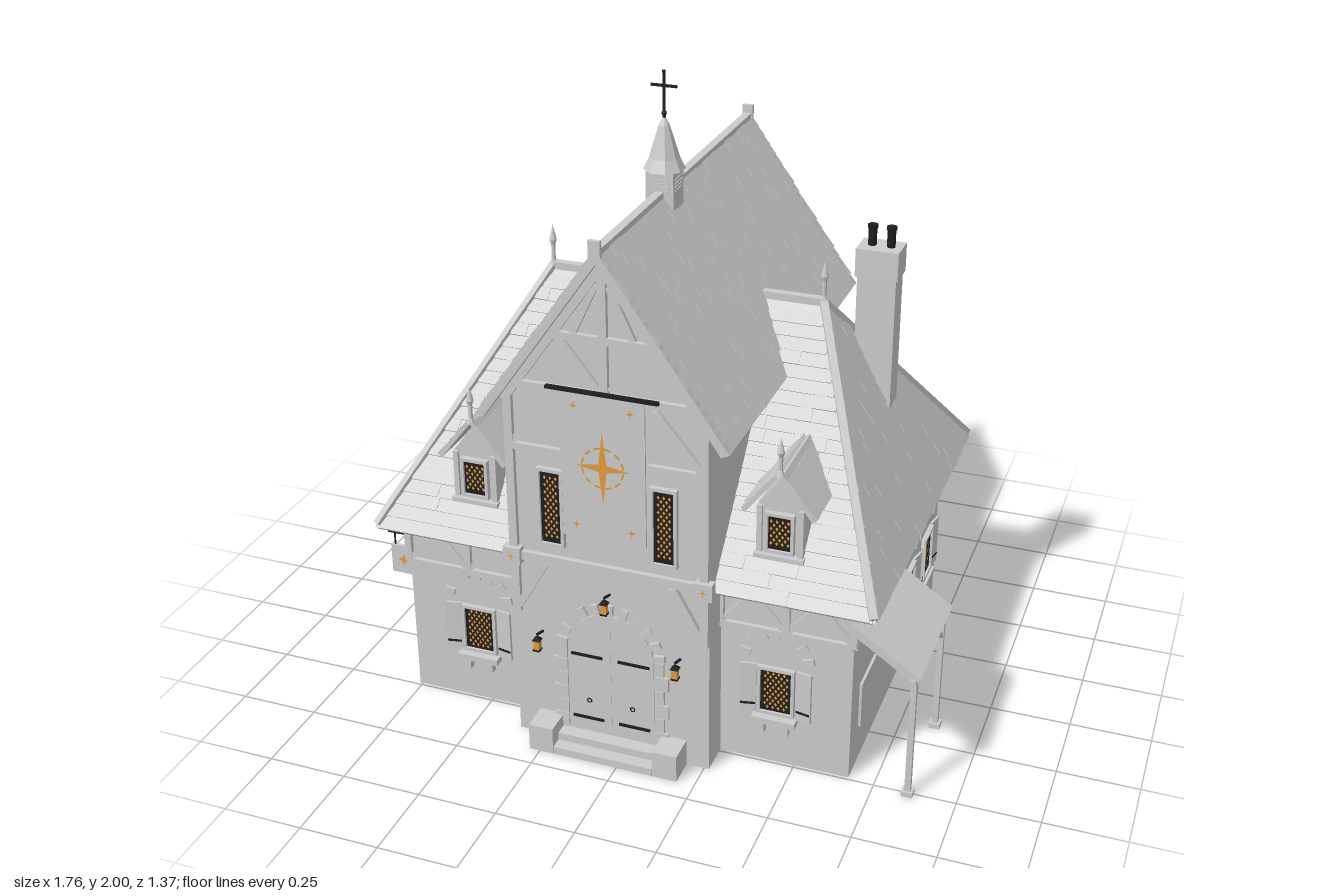
import * as THREE from 'three';
import { mergeGeometries } from 'three/addons/utils/BufferGeometryUtils.js';

const grey = new THREE.MeshStandardMaterial({ color: 0xcccccc });
grey.name = 'paleGrey';
const iron = new THREE.MeshStandardMaterial({ color: 0x1e1e1e });
iron.name = 'darkIron';
const amber = new THREE.MeshStandardMaterial({ color: 0xe39a38 });
amber.name = 'amber';

const V = (x, y, z) => new THREE.Vector3(x, y, z);
let seed = 7;
const rand = () => (seed = (seed * 16807) % 2147483647) / 2147483647;

function add(g, name, geo, mat = grey, x = 0, y = 0, z = 0) {
  const m = new THREE.Mesh(geo, mat);
  m.name = name;
  m.position.set(x, y, z);
  g.add(m);
  return m;
}
const box = (g, name, w, h, d, x, y, z, mat = grey) => add(g, name, new THREE.BoxGeometry(w, h, d), mat, x, y, z);
// Square beam between two points of the parent's space
function beam(g, name, a, b, t = 0.022, mat = grey) {
  const m = box(g, name, t, t, a.distanceTo(b), 0, 0, 0, mat);
  m.position.copy(a).lerp(b, 0.5);
  m.quaternion.setFromRotationMatrix(new THREE.Matrix4().lookAt(b, a, V(0, 1, 0)));
}
function group(parent, name, x = 0, y = 0, z = 0, ry = 0) {
  const g = new THREE.Group();
  g.name = name;
  g.position.set(x, y, z);
  g.rotation.y = ry;
  parent.add(g);
  return g;
}
const poly = pts => new THREE.Shape(pts.map(p => new THREE.Vector2(p[0], p[1])));
const extrude = (shape, depth) => new THREE.ExtrudeGeometry(shape, { depth, bevelEnabled: false, curveSegments: 10 });
const flat = geo => { const f = geo.toNonIndexed(); f.computeVertexNormals(); return f; };

// Sloping slab from corners (first two along the eave), covered with courses of shingles
function roofPlane(g, name, pts, row = 0.042, width = 0.07) {
  const n = pts[1].clone().sub(pts[0]).cross(pts[2].clone().sub(pts[0])).normalize();
  if (n.y < 0) {
    pts = [pts[1], pts[0], ...pts.slice(2).reverse()];
    n.negate();
  }
  const u = pts[1].clone().sub(pts[0]).normalize(), v = n.clone().cross(u);
  const p2 = pts.map(p => { const d = p.clone().sub(pts[0]); return [d.dot(u), d.dot(v)]; });
  const rg = group(g, name);
  rg.quaternion.setFromRotationMatrix(new THREE.Matrix4().makeBasis(u, v, n));
  rg.position.copy(pts[0]);
  add(rg, 'roofDeck', extrude(poly(p2), 0.012));
  const top = Math.max(...p2.map(p => p[1])), tiles = [];
  for (let y = row * 0.55; y < top - row * 0.3; y += row) {
    const xs = [];
    p2.forEach((a, i) => {
      const b = p2[(i + 1) % p2.length];
      if ((a[1] - y) * (b[1] - y) < 0) xs.push(a[0] + (b[0] - a[0]) * (y - a[1]) / (b[1] - a[1]));
    });
    const end = Math.max(...xs);
    for (let x = Math.min(...xs); x < end - 0.004;) {
      const w = Math.min(width * (0.6 + rand() * 0.8), end - x);
      const t = new THREE.BoxGeometry(w, row * 1.08, 0.005);
      t.rotateX(-0.08);
      t.translate(x + w / 2, y, 0.0125 + (rand() < 0.25 ? 0.0025 : 0));
      tiles.push(t);
      x += w;
    }
  }
  add(rg, 'shingles', mergeGeometries(tiles));
}

// Leaded window facing +z
function casement(g, w, h, x, y, z) {
  const c = group(g, 'casement', x, y, z);
  box(c, 'glass', w, h, 0.034, 0, 0, -0.013, amber);
  const s = poly([[-w / 2, -h / 2], [w / 2, -h / 2], [w / 2, h / 2], [-w / 2, h / 2]]);
  const px = 0.017, py = 0.012, rows = Math.floor((h / 2 - 0.012) / py), cols = Math.floor((w / 2 - 0.007) / px * 2);
  for (let j = -rows; j <= rows; j++) for (let i = -cols; i <= cols; i++) {
    if ((i + j) % 2) continue;
    const X = i * px / 2, Y = j * py;
    s.holes.push(new THREE.Path([[0, 0.0068], [0.0046, 0], [0, -0.0068], [-0.0046, 0]].map(q => new THREE.Vector2(X + q[0], Y + q[1]))));
  }
  add(c, 'leadLattice', new THREE.ShapeGeometry(s), iron, 0, 0, 0.006);
  for (const k of [-1, 1]) {
    box(c, 'frameSide', 0.01, h + 0.02, 0.02, k * (w / 2 + 0.005), 0, 0.004);
    box(c, 'frameRail', w, 0.01, 0.02, 0, k * (h / 2 + 0.005), 0.004);
  }
}

// Ring of arch stones
function archStones(g, r, n, x, y) {
  for (let i = 0; i < n; i++) {
    const a = Math.PI * (i + 0.5) / n;
    box(g, 'archStone', 0.035, 0.022, 0.012, x + r * Math.cos(a), y + r * Math.sin(a), 0.003).rotation.z = a;
  }
}

function shutteredWindow(g, x, y, z, ry, { sill = false, arch = true } = {}) {
  const w = group(g, 'shutteredWindow', x, y, z, ry);
  casement(w, 0.095, 0.145, 0, 0, 0.002);
  if (arch) archStones(w, 0.1, 7, 0, 0.1);
  for (const k of [-1, 1]) {
    const s = group(w, 'shutter', k * 0.062, 0, 0.006, -k * 0.2);
    box(s, 'shutterBoard', 0.05, 0.17, 0.008, k * 0.025, 0, 0);
    box(s, 'shutterStrap', 0.045, 0.007, 0.01, k * 0.025, -0.055, 0.001, iron);
    if (sill) box(w, 'sillBracket', 0.014, 0.04, 0.025, k * 0.037, -0.125, 0.012);
  }
  box(w, 'sill', 0.135, 0.02, sill ? 0.05 : 0.025, 0, -0.095, 0.012);
}

// Timber band below the eaves, running along local x
function timberBand(g, x, z, ry, w, bays) {
  const b = group(g, 'timberBand', x, 0, z, ry);
  for (const y of [0.465, 0.585]) box(b, 'rail', w, 0.022, 0.024, 0, y, 0);
  for (let i = 0; i <= bays; i++) {
    const px = -w / 2 + w * i / bays;
    box(b, 'stud', 0.022, 0.12, 0.024, px, 0.525, 0);
    for (const k of [-1, 1]) {
      if (Math.abs(px + k * 0.1) < w / 2) beam(b, 'brace', V(px, 0.47, 0), V(px + k * 0.1, 0.58, 0), 0.018);
    }
  }
}

function lantern(g, x, y, z, ry = 0) {
  const l = group(g, 'lantern', x, y, z, ry);
  box(l, 'lampGlass', 0.018, 0.032, 0.018, 0, 0, 0.045, amber);
  add(l, 'lampCap', new THREE.ConeGeometry(0.018, 0.016, 4, 1, false, Math.PI / 4), iron, 0, 0.024, 0.045);
  box(l, 'lampBase', 0.022, 0.005, 0.022, 0, -0.018, 0.045, iron);
  beam(l, 'lampArm', V(0, 0.02, 0), V(0, 0.035, 0.045), 0.006, iron);
}

const star = (rx, ry, c) => new THREE.ShapeGeometry(poly([[0, ry], [-c, c], [-rx, 0], [-c, -c], [0, -ry], [c, -c], [rx, 0], [c, c]]));

function finial(g, x, y, z, h) {
  const p = [[0.014, 0], [0.007, 0.15], [0.007, 0.5], [0.012, 0.62], [0, 1]].map(q => new THREE.Vector2(q[0], q[1] * h));
  add(g, 'finial', flat(new THREE.LatheGeometry(p, 8)), grey, x, y, z);
}

// Timber frame of a gable end
function gableFrame(g, z, ry) {
  const f = group(g, 'gableFrame', 0, 0, z, ry);
  box(f, 'lowerBeam', 0.64, 0.028, 0.026, 0, 0.637, 0);
  box(f, 'tieBeam', 0.6, 0.024, 0.024, 0, 1.2, 0);
  box(f, 'collar', 0.34, 0.022, 0.024, 0, 1.37, 0);
  box(f, 'kingPost', 0.026, 0.4, 0.024, 0, 1.4, 0);
  for (const k of [-1, 1]) {
    beam(f, 'bargeBoard', V(0, 1.632, 0.034), V(k * 0.37, 1.1, 0.034), 0.026);
    beam(f, 'rafter', V(0, 1.59, 0), V(k * 0.31, 1.145, 0), 0.026);
    box(f, 'cornerPost', 0.026, 0.56, 0.026, k * 0.298, 0.88, 0);
    box(f, 'midRail', 0.17, 0.022, 0.024, k * 0.215, 1.0, 0);
    beam(f, 'upperBrace', V(k * 0.02, 1.22, 0), V(k * 0.14, 1.37, 0));
    beam(f, 'archBrace', V(k * 0.02, 1.53, 0), V(k * 0.09, 1.38, 0), 0.018);
    beam(f, 'lowerBrace', V(k * 0.29, 1.01, 0), V(k * 0.15, 1.18, 0));
  }
}

export function createModel() {
  const root = new THREE.Group();
  root.name = 'timberedHouse';
  const g = group(root, 'house', -0.045);

  // Ground-floor walls, open underneath
  const outline = t => [[-0.715 + t, 0.6 - t], [-0.715 + t, -0.49 + t], [-0.31 + t, -0.49 + t], [-0.31 + t, -0.595 + t],
    [0.31 - t, -0.595 + t], [0.31 - t, -0.49 + t], [0.715 - t, -0.49 + t], [0.715 - t, 0.6 - t]];
  const plan = poly(outline(0));
  plan.holes.push(new THREE.Path(outline(0.02).map(p => new THREE.Vector2(...p))));
  add(g, 'groundWalls', extrude(plan, 0.61).rotateX(-Math.PI / 2));

  // Tall central block
  const gable = poly([[-0.31, 0.6], [0.31, 0.6], [0.31, 1.19], [0, 1.625], [-0.31, 1.19]]);
  add(g, 'frontGable', extrude(gable, 0.02), grey, 0, 0, 0.575);
  add(g, 'backGable', extrude(gable, 0.02), grey, 0, 0, -0.6);
  gableFrame(g, 0.598, 0);
  gableFrame(g, -0.603, Math.PI);
  for (const k of [-1, 1]) {
    box(g, 'blockSideWall', 0.02, 0.6, 1.17, k * 0.3, 0.89, 0);
    roofPlane(g, 'mainRoof', [V(k * 0.37, 1.095, -0.655), V(k * 0.37, 1.095, 0.64), V(0, 1.63, 0.64), V(0, 1.63, -0.655)], 0.036, 0.055);
    box(g, 'ridgeEnd', 0.035, 0.05, 0.012, 0, 1.655, k * 0.645);
  }
  box(g, 'mainRidge', 0.026, 0.022, 1.29, 0, 1.642, -0.005);

  // Wings: hipped roofs, dormers, windows and timber bands
  for (const k of [-1, 1]) {
    const front = V(k * 0.782, 0.597, 0.557), back = V(k * 0.782, 0.597, -0.667), apex = V(k * 0.435, 1.272, -0.055);
    const inner = V(k * 0.25, 1.272, -0.055);
    roofPlane(g, 'wingRoofFront', [V(k * 0.312, 0.597, 0.557), front, apex, inner]);
    roofPlane(g, 'wingRoofBack', [V(k * 0.312, 0.597, -0.667), back, apex, inner]);
    roofPlane(g, 'wingRoofSide', [front, back, apex]);
    const peak = V(k * 0.438, 1.286, -0.055);
    beam(g, 'hipCap', V(k * 0.782, 0.612, 0.557), peak, 0.024);
    beam(g, 'hipCap', V(k * 0.782, 0.612, -0.667), peak, 0.024);
    beam(g, 'wingRidge', peak, V(k * 0.25, 1.286, -0.055), 0.026);
    finial(g, k * 0.44, 1.285, -0.055, 0.135);

    const d = group(g, 'dormer', k * 0.48);
    add(d, 'dormerBody', extrude(poly([[-0.07, 0.7], [0.07, 0.7], [0.07, 0.87], [0, 0.965], [-0.07, 0.87]]), 0.25), grey, 0, 0, 0.22);
    for (const s of [-1, 1]) {
      roofPlane(d, 'dormerRoof', [V(s * 0.1, 0.85, 0.3), V(s * 0.1, 0.85, 0.495), V(0, 0.98, 0.495), V(0, 0.98, 0.2)], 0.035, 0.05);
      box(d, 'dormerPost', 0.016, 0.17, 0.016, s * 0.062, 0.785, 0.472);
    }
    casement(d, 0.068, 0.11, 0, 0.79, 0.474);
    box(d, 'dormerSill', 0.15, 0.014, 0.03, 0, 0.712, 0.478);
    finial(d, 0, 0.98, 0.485, 0.12);

    shutteredWindow(g, k * 0.485, 0.26, 0.49, 0, { sill: true });
    for (const x of [0.17, 0.495]) shutteredWindow(g, k * x, 0.26, -0.6, Math.PI);
    (k > 0 ? [-0.18, -0.425] : [-0.19, 0.18]).forEach(z => shutteredWindow(g, k * 0.715, 0.26, z, k * Math.PI / 2));
    timberBand(g, k * 0.512, 0.492, 0, 0.405, 2);
    timberBand(g, k * 0.715, -0.055, k * Math.PI / 2, 1.09, 4);

    // Central bay windows, jetty posts, braces and plaques
    casement(g, 0.062, 0.235, k * 0.175, 0.815, 0.598);
    box(g, 'bayPost', 0.026, 0.19, 0.03, k * 0.297, 0.535, 0.595);
    beam(g, 'bayBrace', V(k * 0.29, 0.46, 0.6), V(k * 0.2, 0.62, 0.6));
    box(g, 'plaque', 0.055, 0.055, 0.03, k * 0.3, 0.637, 0.61);
    add(g, 'plaqueStar', star(0.018, 0.018, 0.0018), amber, k * 0.3, 0.637, 0.627);
    box(g, 'stepPedestal', 0.078, 0.088, 0.09, k * 0.2, 0.044, 0.64);
    lantern(g, k * 0.22, 0.355, 0.595);
    for (let i = 0; i < 6; i++) box(g, 'jambStone', i % 2 ? 0.03 : 0.045, 0.048, 0.012, k * (i % 2 ? 0.155 : 0.162), 0.075 + i * 0.05, 0.598);
  }
  box(g, 'backRail', 1.43, 0.022, 0.024, 0, 0.465, -0.6);
  shutteredWindow(g, 0, 0.86, -0.602, Math.PI, { arch: false });

  // Door and steps
  const door = new THREE.Shape();
  door.moveTo(-0.138, 0.04);
  door.lineTo(0.138, 0.04);
  door.lineTo(0.138, 0.34);
  door.absarc(0, 0.34, 0.138, 0, Math.PI);
  add(g, 'door', extrude(door, 0.04), grey, 0, 0, 0.562);
  archStones(group(g, 'doorArch', 0, 0, 0.597), 0.158, 11, 0, 0.34);
  box(g, 'doorSeam', 0.003, 0.42, 0.003, 0, 0.26, 0.602);
  for (const k of [-1, 1]) {
    for (const y of [0.1, 0.325]) box(g, 'doorStrap', 0.1, 0.008, 0.006, k * 0.075, y, 0.604, iron);
    add(g, 'doorHandle', new THREE.TorusGeometry(0.007, 0.002, 6, 10), iron, k * 0.07, 0.165, 0.605);
  }
  box(g, 'lowerStep', 0.32, 0.025, 0.09, 0, 0.0125, 0.64);
  box(g, 'upperStep', 0.32, 0.025, 0.05, 0, 0.0375, 0.62);
  lantern(g, 0, 0.53, 0.595);

  // Hanging banner with painted star
  add(g, 'banner', extrude(poly([[-0.128, 0.75], [0, 0.69], [0.128, 0.75], [0.128, 1.21], [-0.128, 1.21]]), 0.006), grey, 0, 0, 0.618);
  box(g, 'bannerRod', 0.34, 0.01, 0.012, 0, 1.215, 0.622, iron);
  add(g, 'bannerStar', star(0.082, 0.115, 0.012), amber, 0, 0.985, 0.627);
  for (let i = 0; i < 12; i++) {
    add(g, 'starRing', new THREE.RingGeometry(0.06, 0.066, 4, 1, i * Math.PI / 6 + 0.1, 0.33), amber, 0, 0.985, 0.626);
  }
  for (const x of [-0.085, 0.085]) for (const y of [0.79, 1.17]) add(g, 'smallStar', star(0.014, 0.014, 0.003), amber, x, y, 0.626);

  // Chimney
  box(g, 'chimneyStack', 0.12, 0.68, 0.085, 0.575, 1.02, -0.187);
  box(g, 'chimneyCap', 0.132, 0.09, 0.1, 0.575, 1.39, -0.187);
  for (const x of [0.547, 0.605]) {
    add(g, 'chimneyPot', new THREE.CylinderGeometry(0.013, 0.013, 0.07, 10), iron, x, 1.465, -0.187);
    add(g, 'potRim', new THREE.CylinderGeometry(0.016, 0.016, 0.01, 10), iron, x, 1.495, -0.187);
  }

  // Ridge turret with cross
  const t = group(g, 'turret', 0, 0, 0.12);
  box(t, 'turretBase', 0.085, 0.13, 0.085, 0, 1.645, 0);
  for (let i = 0; i < 4; i++) {
    const f = group(t, 'louvre', 0, 0, 0, i * Math.PI / 2);
    for (let j = 0; j < 4; j++) box(f, 'louvreSlat', 0.055, 0.004, 0.006, 0, 1.655 + j * 0.011, 0.042);
  }
  const spire = [[0, 1.7], [0.062, 1.71], [0.045, 1.745], [0.016, 1.84], [0, 1.87]].map(p => new THREE.Vector2(...p));
  add(t, 'spire', flat(new THREE.LatheGeometry(spire, 8, Math.PI / 8)));
  box(t, 'crossPost', 0.007, 0.14, 0.007, 0, 1.93, 0, iron);
  box(t, 'crossArm', 0.08, 0.007, 0.007, 0, 1.955, 0, iron);
  add(t, 'crossBall', new THREE.SphereGeometry(0.008, 8, 6), iron, 0, 1.875, 0);

  // Lean-to canopy with posts, hatch and lamp
  roofPlane(g, 'canopy', [V(0.914, 0.413, 0.53), V(0.914, 0.413, 0.12), V(0.71, 0.55, 0.12), V(0.71, 0.55, 0.53)], 0.03, 0.045);
  box(g, 'canopyBeam', 0.018, 0.018, 0.4, 0.9, 0.405, 0.325);
  for (const z of [0.505, 0.15]) {
    box(g, 'canopyPost', 0.018, 0.41, 0.018, 0.9, 0.205, z);
    box(g, 'postFoot', 0.034, 0.016, 0.034, 0.9, 0.008, z);
    beam(g, 'canopyRafter', V(0.9, 0.405, z), V(0.715, 0.53, z), 0.016);
    beam(g, 'postBrace', V(0.9, 0.33, z), V(0.9, 0.4, z + (z > 0.3 ? -0.06 : 0.06)), 0.012);
  }
  box(g, 'hatch', 0.012, 0.15, 0.17, 0.717, 0.2, 0.315);
  lantern(g, 0.715, 0.315, 0.18, Math.PI / 2);

  // Hanging sign
  box(g, 'signBracket', 0.12, 0.008, 0.008, -0.775, 0.5, 0.41, iron);
  beam(g, 'signStrut', V(-0.715, 0.45, 0.41), V(-0.76, 0.498, 0.41), 0.006, iron);
  box(g, 'signBoard', 0.086, 0.1, 0.012, -0.783, 0.405, 0.41);
  for (const k of [-1, 1]) {
    box(g, 'signChain', 0.004, 0.045, 0.004, -0.783 + k * 0.03, 0.477, 0.41, iron);
    add(g, 'signStar', star(0.02, 0.02, 0.006), amber, -0.783, 0.405, 0.41 + k * 0.008).rotation.y = k > 0 ? 0 : Math.PI;
  }
  return root;
}
